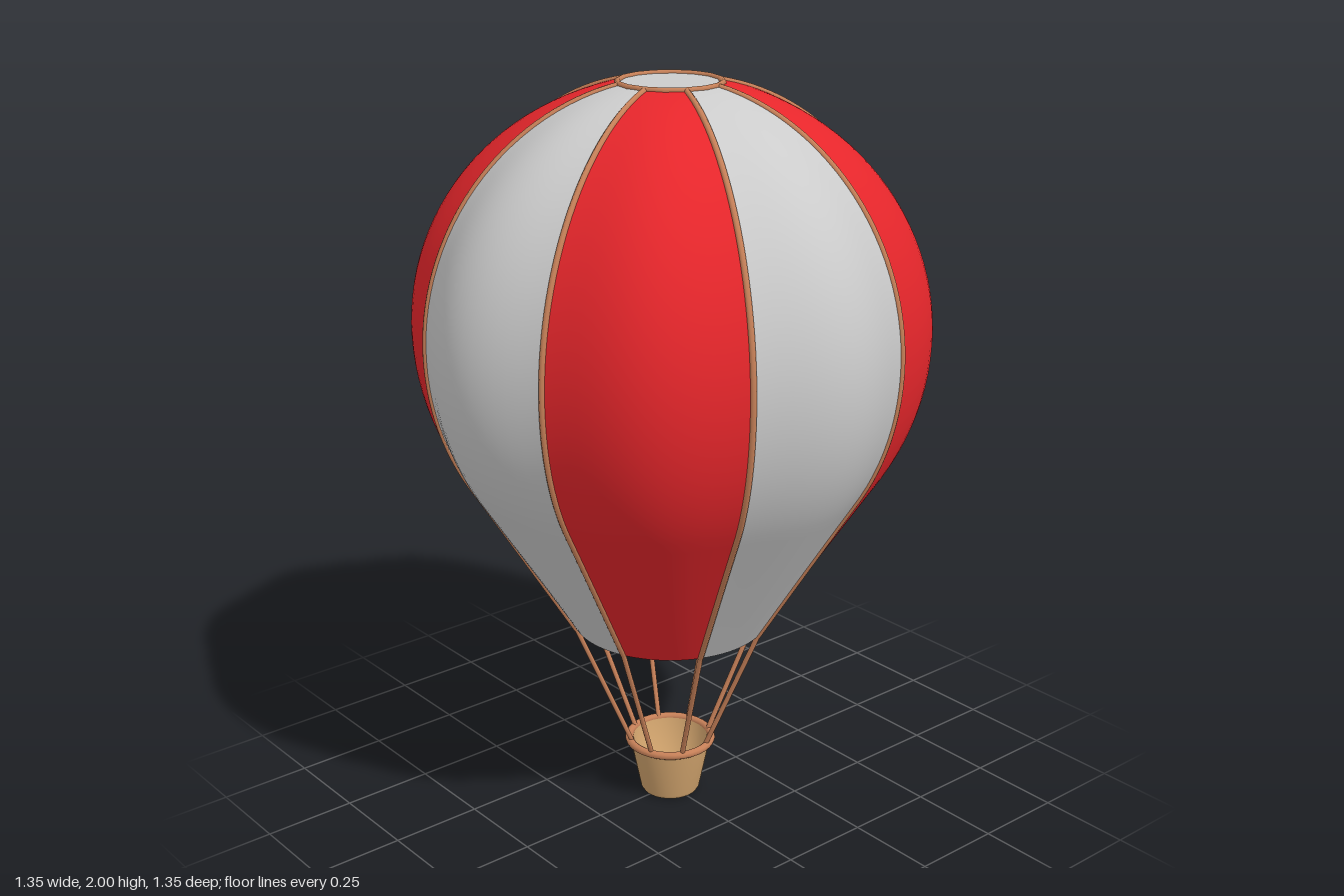
import * as THREE from 'three';
import { ParametricGeometry } from 'three/addons/geometries/ParametricGeometry.js';

const GORES = 8;
const STEP = (Math.PI * 2) / GORES;
const MOUTH_R = 0.265, MOUTH_Y = 0.53;
const TOP_R = 0.13, TOP_Y = 1.992;
const MAX_R = 0.675, MID_Y = 1.35, CROWN_H = 0.654;
const BULGE = 0.035;

const material = (color, side = THREE.FrontSide) =>
  new THREE.MeshStandardMaterial({ color, side, roughness: 0.8 });

// Envelope profile: straight skirt, round belly, slightly flattened crown
const TANGENT = -0.588;
const TOP_ANGLE = Math.acos(TOP_R / MAX_R);
const SKIRT = 0.24;
function profile(t) {
  if (t < SKIRT) {
    const k = t / SKIRT;
    return [
      THREE.MathUtils.lerp(MOUTH_R, MAX_R * Math.cos(TANGENT), k),
      THREE.MathUtils.lerp(MOUTH_Y, MID_Y + MAX_R * Math.sin(TANGENT), k),
    ];
  }
  const a = THREE.MathUtils.lerp(TANGENT, TOP_ANGLE, (t - SKIRT) / (1 - SKIRT));
  return [MAX_R * Math.cos(a), MID_Y + (a < 0 ? MAX_R : CROWN_H) * Math.sin(a)];
}

// Point on the envelope; s runs 0..1 across one gore, and dips at its seams
function envelopePoint(s, t, angle, target) {
  const [r, y] = profile(t);
  const dip = BULGE * Math.sin(Math.PI * t) * (1 - Math.sin(Math.PI * s) ** 2);
  return target.set((r - dip) * Math.sin(angle), y, (r - dip) * Math.cos(angle));
}

export function createModel() {
  const model = new THREE.Group();
  model.name = 'hotAirBalloon';

  const grey = material(0xcccccc, THREE.DoubleSide);
  const red = material(0xe6262b, THREE.DoubleSide);
  const cord = material(0xc68058);
  const wicker = material(0xcfa26c, THREE.DoubleSide);

  function add(name, geometry, mat, parent = model) {
    const mesh = new THREE.Mesh(geometry, mat);
    mesh.name = name;
    parent.add(mesh);
    return mesh;
  }
  function group(name) {
    const g = new THREE.Group();
    g.name = name;
    model.add(g);
    return g;
  }

  const envelope = group('envelope');
  const seams = group('seamBands');
  const ropes = group('ropes');

  for (let i = 0; i < GORES; i++) {
    // Fabric gore
    const start = (i - 0.5) * STEP;
    const gore = new ParametricGeometry(
      (u, v, p) => envelopePoint(u, v, start + u * STEP, p), 16, 48);
    add('gore', gore, i % 2 ? red : grey, envelope);

    // Band along the seam
    const points = [];
    for (let j = 0; j <= 32; j++) {
      points.push(envelopePoint(0, j / 32, start, new THREE.Vector3()));
    }
    add('seamBand', new THREE.TubeGeometry(
      new THREE.CatmullRomCurve3(points), 64, 0.008, 8), cord, seams);

    // Rope from the mouth to the basket rim
    const foot = new THREE.Vector3(0.11 * Math.sin(start), 0.16, 0.11 * Math.cos(start));
    add('rope', new THREE.TubeGeometry(
      new THREE.LineCurve3(points[0], foot), 1, 0.007, 8), cord, ropes);
  }

  // Crown cap and its ring
  const cap = add('crownCap', new THREE.CircleGeometry(TOP_R, 32), grey);
  cap.rotation.x = -Math.PI / 2;
  cap.position.y = TOP_Y;
  const crownRing = add('crownRing', new THREE.TorusGeometry(TOP_R + 0.002, 0.008, 8, 16), cord);
  crownRing.rotation.x = Math.PI / 2;
  crownRing.position.y = TOP_Y;

  // Open basket with a softened bottom edge
  const section = [
    [0, 0], [0.07, 0], [0.078, 0.003], [0.083, 0.012],
    [0.113, 0.16], [0.103, 0.16], [0.075, 0.016], [0, 0.016],
  ].map(([x, y]) => new THREE.Vector2(x, y));
  add('basket', new THREE.LatheGeometry(section, 32), wicker);

  const rim = add('basketRim', new THREE.TorusGeometry(0.115, 0.011, 10, 32), cord);
  rim.rotation.x = Math.PI / 2;
  rim.position.y = 0.16;

  return model;
}
